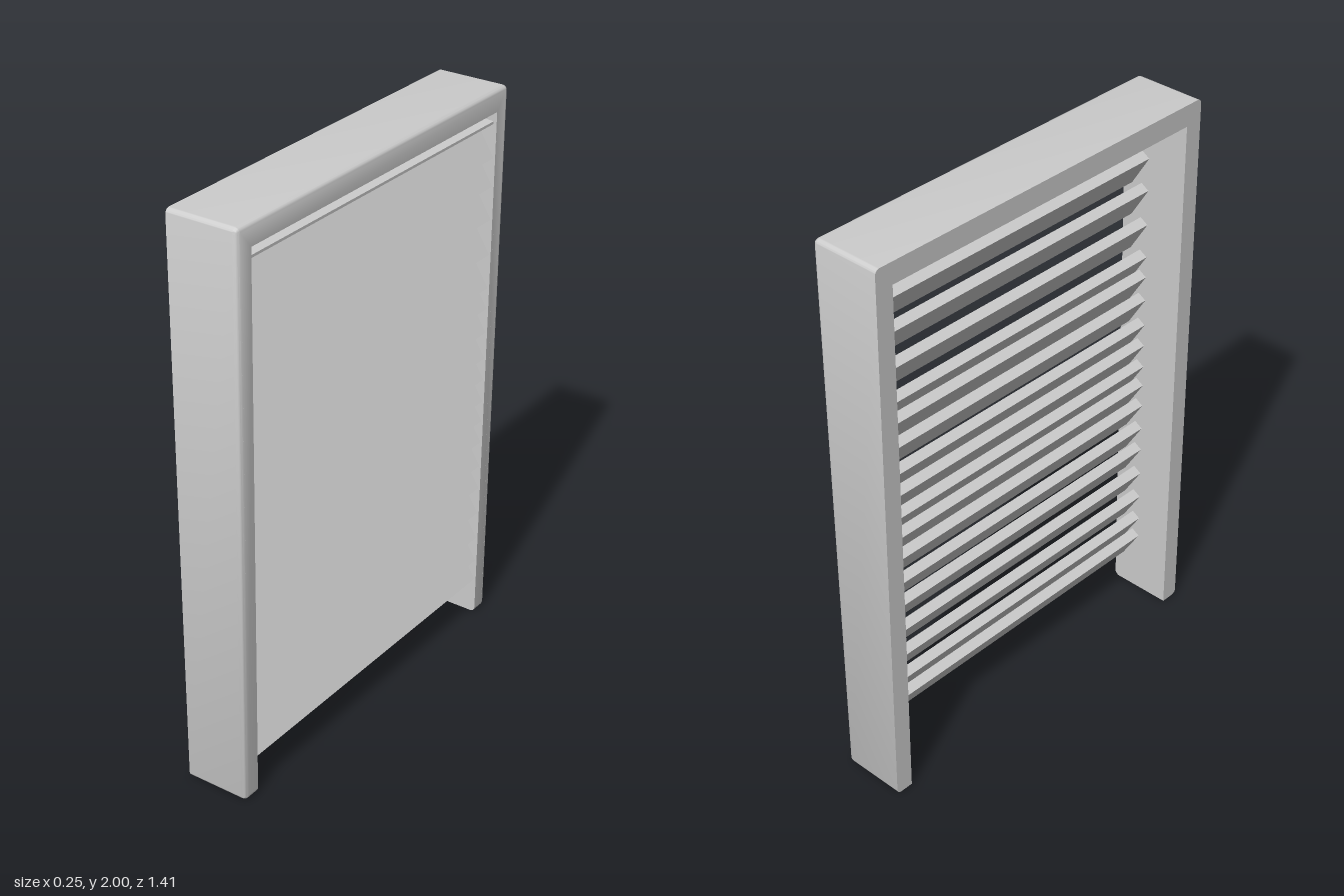
import * as THREE from 'three';
import { toCreasedNormals } from 'three/addons/utils/BufferGeometryUtils.js';

const OUT = 0.705, IN = 0.64, TOP = 2, HEAD = 1.925, BACK = -0.13, R = 0.018;
const material = new THREE.MeshStandardMaterial({ color: 0xcccccc });

// The outer face leans out slightly towards the top
const frontX = (y) => 0.1 + 0.0125 * y;

function part(name, geometry) {
  const mesh = new THREE.Mesh(geometry, material);
  mesh.name = name;
  return mesh;
}

// Inverted U surround: sharp at the back, rounded around the outer front edge
function frameGeometry() {
  const s = new THREE.Shape();
  s.moveTo(IN, 0);
  s.lineTo(OUT - R, 0);
  s.absarc(OUT - R, R, R, -Math.PI / 2, 0);
  s.lineTo(OUT, TOP - R);
  s.absarc(OUT - R, TOP - R, R, 0, Math.PI / 2);
  s.lineTo(-OUT + R, TOP);
  s.absarc(-OUT + R, TOP - R, R, Math.PI / 2, Math.PI);
  s.lineTo(-OUT, R);
  s.absarc(-OUT + R, R, R, Math.PI, Math.PI * 1.5);
  s.lineTo(-IN, 0);
  s.lineTo(-IN, HEAD);
  s.lineTo(IN, HEAD);
  s.closePath();

  const steps = 6;
  const g = new THREE.ExtrudeGeometry(s, { depth: 1, steps, bevelEnabled: false, curveSegments: 5 });
  const p = g.attributes.position;
  for (let i = 0; i < p.count; i++) {
    const layer = Math.round(p.getZ(i) * steps);
    let x = p.getX(i), y = p.getY(i), z = BACK;
    if (layer > 0) {
      // layers after the first follow a quarter round; only the outer rim shrinks
      const a = ((layer - 1) / (steps - 1)) * Math.PI / 2;
      const shrink = 1 - Math.cos(a);
      z = frontX(y) - R + R * Math.sin(a);
      x -= Math.sign(x) * Math.max(0, Math.abs(x) - (OUT - R)) * shrink;
      y -= (Math.max(0, y - (TOP - R)) + Math.min(0, y - R)) * shrink;
    }
    p.setXYZ(i, x, y, z);
  }
  g.rotateY(Math.PI / 2);
  return toCreasedNormals(g, 0.6);
}

// Thin coved strip under the head of the frame, sweeping down and outward
function coveGeometry() {
  const s = new THREE.Shape();
  s.moveTo(0.04, HEAD + 0.005);
  s.quadraticCurveTo(0.045, 1.893, 0.112, 1.891);
  s.lineTo(0.112, 1.882);
  s.quadraticCurveTo(0.035, 1.876, 0.028, HEAD + 0.005);
  s.closePath();
  const g = new THREE.ExtrudeGeometry(s, { depth: IN * 2, bevelEnabled: false, curveSegments: 10 });
  g.translate(0, 0, -IN);
  return toCreasedNormals(g, 0.6);
}

export function createModel() {
  const model = new THREE.Group();
  model.name = 'louvredShutter';
  model.add(part('frame', frameGeometry()), part('headCove', coveGeometry()));

  // Slats slope down and outward; the spacing is uneven
  const slats = new THREE.Group();
  slats.name = 'slats';
  const tilt = 0.55, length = 0.13, thickness = 0.035;
  const slat = new THREE.BoxGeometry(thickness, length, IN * 2);
  const lips = [1.756, 1.656, 1.539, 1.412, 1.29, 1.213, 1.123, 1.025, 0.943,
    0.858, 0.781, 0.697, 0.601, 0.511, 0.408, 0.305, 0.209, 0.13];
  const reach = (thickness / 2) * Math.cos(tilt) + (length / 2) * Math.sin(tilt);
  lips.forEach((y, i) => {
    const mesh = part('slat' + (i + 1), slat);
    mesh.position.set(frontX(y) - 0.006 - reach, y + (length / 2) * Math.cos(tilt), 0);
    mesh.rotation.z = tilt;
    slats.add(mesh);
  });
  model.add(slats);
  return model;
}
